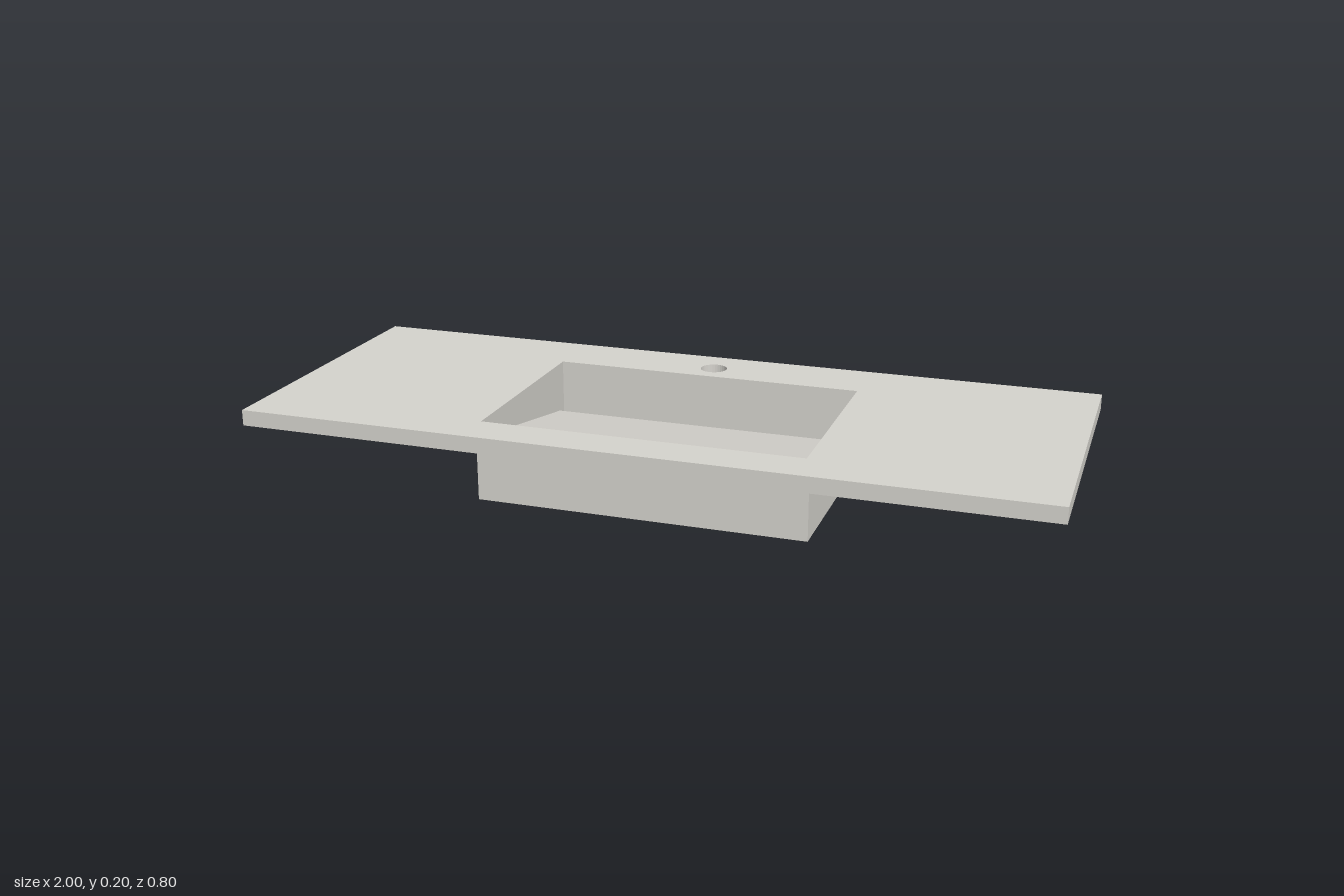
import * as THREE from 'three';

const stone = new THREE.MeshStandardMaterial({ color: 0xd6d4ce });
stone.name = 'warm grey stone';

const OUT_X = 0.415, IN_X = 0.405;            // basin half widths
const BACK = -0.24, FRONT = 0.3, WALL = 0.01; // basin depth range and wall thickness
const TOP = 0.2, SLAB = 0.04;

// Counter-clockwise rectangle in plan (shape y becomes z)
function rect(path, x, z0, z1) {
  path.moveTo(-x, z0);
  path.lineTo(x, z0);
  path.lineTo(x, z1);
  path.lineTo(-x, z1);
  path.closePath();
  return path;
}

function circle(z, r) {
  const path = new THREE.Path();
  path.absarc(0, z, r, 0, Math.PI * 2, true);
  return path;
}

// Horizontal plate cut from a plan shape, hanging down from height top
function plate(name, shape, top, thickness) {
  const geo = new THREE.ExtrudeGeometry(shape, { depth: thickness, bevelEnabled: false, curveSegments: 16 });
  geo.rotateX(Math.PI / 2).translate(0, top, 0);
  const mesh = new THREE.Mesh(geo, stone);
  mesh.name = name;
  return mesh;
}

// Lay a geometry along the slope between two (z, y) points
function slope(name, makeGeometry, [z0, y0], [z1, y1]) {
  const geo = makeGeometry(Math.hypot(z1 - z0, y1 - y0));
  geo.rotateX(-Math.atan2(y1 - y0, z1 - z0));
  geo.translate(0, (y0 + y1) / 2, (z0 + z1) / 2);
  const mesh = new THREE.Mesh(geo, stone);
  mesh.name = name;
  return mesh;
}

export function createModel() {
  const model = new THREE.Group();
  model.name = 'washbasinCounter';

  // Countertop with basin opening and tap hole
  const counter = rect(new THREE.Shape(), 1, -0.4, 0.4);
  counter.holes.push(rect(new THREE.Path(), OUT_X, BACK, FRONT), circle(-0.3, 0.035));
  model.add(plate('countertop', counter, TOP, SLAB));

  // Basin walls, open above and below
  const walls = rect(new THREE.Shape(), OUT_X, BACK, FRONT);
  walls.holes.push(rect(new THREE.Path(), IN_X, BACK + WALL, FRONT - WALL));
  model.add(plate('basinWalls', walls, TOP, TOP));

  // Flat channel under the back slot, with drain hole
  const channel = rect(new THREE.Shape(), IN_X, BACK + WALL, -0.11);
  channel.holes.push(circle(-0.16, 0.03));
  model.add(plate('drainChannel', channel, 0.012, 0.01));

  // Sloping basin floor, falling towards the slot at the back
  model.add(slope('basinFloor',
    (len) => new THREE.PlaneGeometry(IN_X * 2, len).rotateX(-Math.PI / 2),
    [-0.2, 0.07], [FRONT - WALL, 0.16]));

  // Underside of the floor, running down to the channel
  model.add(slope('floorUnderside',
    (len) => new THREE.BoxGeometry(IN_X * 2, 0.008, len),
    [-0.113, 0.007], [FRONT - WALL, 0.15]));

  return model;
}
